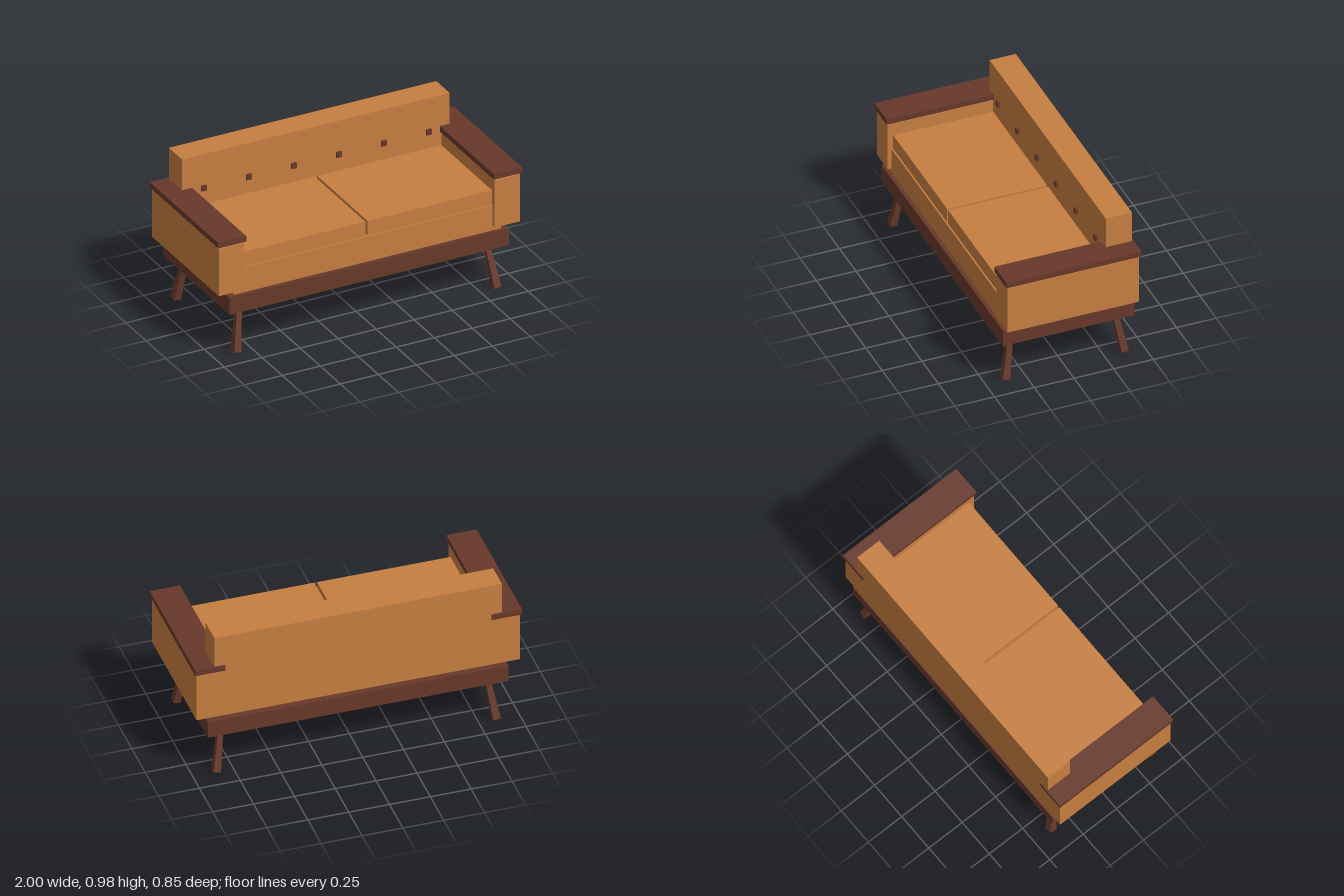
import * as THREE from 'three';

export function createModel() {
  const sofa = new THREE.Group();
  sofa.name = 'sofa';

  const upholstery = new THREE.MeshStandardMaterial({ color: 0xc67e40 });
  upholstery.name = 'tan upholstery';
  const wood = new THREE.MeshStandardMaterial({ color: 0x673829 });
  wood.name = 'dark wood';

  // Box given by its lower and upper limits on each axis
  function block(name, material, [x0, x1], [y0, y1], [z0, z1]) {
    const mesh = new THREE.Mesh(new THREE.BoxGeometry(x1 - x0, y1 - y0, z1 - z0), material);
    mesh.position.set((x0 + x1) / 2, (y0 + y1) / 2, (z0 + z1) / 2);
    mesh.name = name;
    sofa.add(mesh);
  }

  // Square leg, thicker at the foot, running from top to foot
  function leg(name, top, foot) {
    const axis = top.clone().sub(foot);
    const geometry = new THREE.BoxGeometry(0.032, axis.length(), 0.032);
    const p = geometry.attributes.position;
    for (let i = 0; i < p.count; i++) {
      if (p.getY(i) < 0) {
        p.setX(i, p.getX(i) * 1.45);
        p.setZ(i, p.getZ(i) * 1.45);
      }
    }
    geometry.computeVertexNormals();
    const mesh = new THREE.Mesh(geometry, wood);
    mesh.position.copy(top).add(foot).multiplyScalar(0.5);
    mesh.quaternion.setFromUnitVectors(new THREE.Vector3(0, 1, 0), axis.normalize());
    mesh.name = name;
    sofa.add(mesh);
  }

  // Frame, seat base and backrest
  block('baseFrame', wood, [-0.92, 0.92], [0.285, 0.395], [-0.415, 0.415]);
  block('seatBase', upholstery, [-0.88, 0.88], [0.395, 0.56], [-0.35, 0.39]);
  block('backrest', upholstery, [-0.88, 0.88], [0.425, 0.985], [-0.415, -0.25]);

  // Mirrored parts: cushions, arms, armrests and splayed legs
  for (const s of [1, -1]) {
    const side = s > 0 ? 'left' : 'right';
    const span = (a, b) => (s > 0 ? [a, b] : [-b, -a]);
    block(side + 'Cushion', upholstery, span(0.008, 0.83), [0.56, 0.655], [-0.26, 0.38]);
    block(side + 'Arm', upholstery, span(0.825, 0.99), [0.425, 0.735], [-0.415, 0.415]);
    block(side + 'Armrest', wood, span(0.815, 1), [0.747, 0.783], [-0.425, 0.425]);
    for (const f of [1, -1]) {
      leg(side + (f > 0 ? 'FrontLeg' : 'BackLeg'),
        new THREE.Vector3(s * 0.818, 0.263, f * 0.33),
        new THREE.Vector3(s * 0.857, 0.008, f * 0.375));
    }
  }

  // Row of square buttons on the backrest
  for (let i = 0; i < 6; i++) {
    const x = (i - 2.5) * 0.296;
    block('backButton' + (i + 1), wood, [x - 0.017, x + 0.017], [0.749, 0.783], [-0.255, -0.235]);
  }

  return sofa;
}
